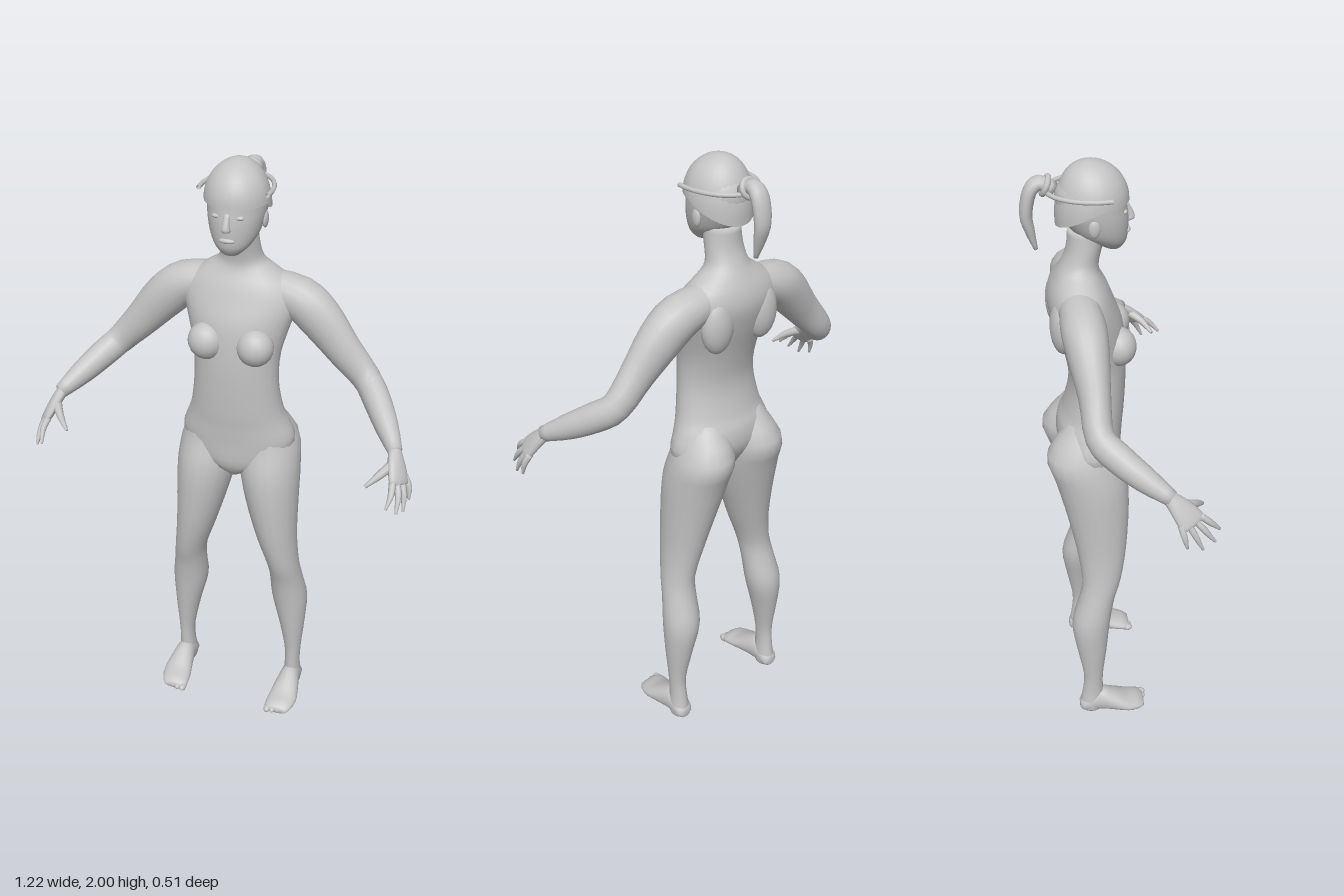
import * as THREE from 'three';

const skin = new THREE.MeshStandardMaterial({ color: 0xc4c4c4, side: THREE.DoubleSide });
skin.name = 'plain grey';

const V = (x, y, z) => new THREE.Vector3(x, y, z);

// Catmull-Rom refinement of a list of number rows
function refine(rows, n) {
  const out = [];
  for (let i = 0; i < rows.length - 1; i++) {
    const a = rows[Math.max(i - 1, 0)], b = rows[i], c = rows[i + 1], d = rows[Math.min(i + 2, rows.length - 1)];
    for (let k = 0; k < n; k++) {
      const t = k / n;
      out.push(b.map((_, m) => b[m] + 0.5 * t * (c[m] - a[m]
        + t * (2 * a[m] - 5 * b[m] + 4 * c[m] - d[m] + t * (3 * (b[m] - c[m]) + d[m] - a[m])))));
    }
  }
  out.push(rows[rows.length - 1]);
  return out;
}

// Closed skin over elliptical sections [x, y, z, radius along ref, radius across];
// sections are square to the path unless a fixed axis is given
function loft(rows, ref, axis = null, sides = 20, n = 3) {
  const secs = refine(rows, n), pos = [], idx = [];
  const at = i => V(...secs[Math.min(Math.max(i, 0), secs.length - 1)].slice(0, 3));
  secs.forEach((s, i) => {
    const t = axis ? axis.clone() : at(i + 1).sub(at(i - 1)).normalize();
    const u = ref.clone().addScaledVector(t, -ref.dot(t)).normalize();
    const v = t.clone().cross(u);
    for (let j = 0; j < sides; j++) {
      const a = (j / sides) * Math.PI * 2;
      const p = at(i).addScaledVector(u, Math.cos(a) * s[3]).addScaledVector(v, Math.sin(a) * s[4]);
      pos.push(p.x, p.y, p.z);
    }
  });
  const last = secs.length - 1, c0 = pos.length / 3;
  pos.push(...at(0).toArray(), ...at(last).toArray());
  for (let j = 0; j < sides; j++) {
    const k = (j + 1) % sides;
    for (let i = 0; i < last; i++) {
      const a = i * sides + j, b = i * sides + k;
      idx.push(a, b, b + sides, a, b + sides, a + sides);
    }
    idx.push(c0, k, j, c0 + 1, last * sides + j, last * sides + k);
  }
  const g = new THREE.BufferGeometry();
  g.setAttribute('position', new THREE.Float32BufferAttribute(pos, 3));
  g.setIndex(idx);
  g.computeVertexNormals();
  return g;
}

// Upright form from [y, half width, front z, back z]
const upright = rows => loft(rows.map(([y, w, f, b]) => [0, y, (f + b) / 2, w, (f - b) / 2]), V(1, 0, 0), V(0, 1, 0), 28);

export function createModel() {
  const model = new THREE.Group();
  model.name = 'figure';
  const add = (name, geo) => {
    const m = new THREE.Mesh(geo, skin);
    m.name = name;
    model.add(m);
    return m;
  };
  const blob = (name, p, r) => {
    const m = add(name, new THREE.SphereGeometry(1, 18, 12));
    m.position.set(...p);
    m.scale.set(...r);
    return m;
  };

  // Torso and neck
  add('torso', upright([
    [0.95, 0.03, 0.0, -0.1], [1.0, 0.13, 0.03, -0.12], [1.08, 0.188, 0.035, -0.165], [1.15, 0.17, 0.04, -0.165],
    [1.2, 0.152, 0.045, -0.145], [1.3, 0.137, 0.05, -0.125], [1.4, 0.14, 0.05, -0.14], [1.5, 0.165, 0.04, -0.17],
    [1.57, 0.185, 0.015, -0.185], [1.62, 0.165, -0.005, -0.178], [1.66, 0.11, -0.025, -0.16],
    [1.69, 0.07, -0.03, -0.145], [1.74, 0.06, -0.02, -0.125], [1.8, 0.055, 0.0, -0.12]]));

  // Head
  add('head', upright([
    [1.738, 0.025, 0.035, -0.01], [1.76, 0.05, 0.05, -0.05], [1.79, 0.07, 0.055, -0.1], [1.83, 0.082, 0.056, -0.13],
    [1.87, 0.088, 0.052, -0.15], [1.92, 0.085, 0.045, -0.15], [1.97, 0.055, 0.01, -0.11]]));
  add('nose', loft([[0, 1.87, 0.05, 0.008, 0.006], [0, 1.84, 0.061, 0.011, 0.01], [0, 1.823, 0.062, 0.014, 0.012],
    [0, 1.816, 0.055, 0.008, 0.006]], V(1, 0, 0), V(0, -1, 0), 12));
  blob('lips', [0, 1.79, 0.052], [0.024, 0.008, 0.01]);

  // Hair cap, drawn lower at the back of the head
  const hair = new THREE.SphereGeometry(1, 32, 14, 0, Math.PI * 2, 0, Math.PI / 2);
  const hp = hair.attributes.position;
  for (let i = 0; i < hp.count; i++) {
    const y = hp.getY(i), z = hp.getZ(i), drop = Math.max(0, 0.25 - z) * (1 - y);
    hp.setXYZ(i, hp.getX(i) * 0.1 * (1 - 0.08 * drop), 1.885 + 0.115 * y - 0.055 * drop, -0.055 + 0.113 * z * (1 - 0.1 * drop));
  }
  hair.computeVertexNormals();
  add('hair', hair);

  // Hair band around the sides and back
  const band = [];
  for (let i = 0; i <= 16; i++) {
    const a = -0.2 + (i / 16) * (Math.PI + 0.4);
    band.push(V(0.105 * Math.cos(a), 1.918, -0.03 - 0.148 * Math.sin(a)));
  }
  add('hairBand', new THREE.TubeGeometry(new THREE.CatmullRomCurve3(band), 40, 0.007, 8));

  // Ponytail and its tie
  add('ponytail', loft([
    [0, 1.92, -0.155, 0.024, 0.02], [0, 1.94, -0.195, 0.026, 0.022], [0, 1.915, -0.222, 0.03, 0.02],
    [0, 1.85, -0.235, 0.028, 0.019], [0, 1.8, -0.226, 0.022, 0.015], [0, 1.74, -0.21, 0.008, 0.006]], V(1, 0, 0), null, 14));
  const tie = add('ponytailTie', new THREE.TorusGeometry(0.025, 0.009, 8, 18));
  tie.position.set(0, 1.932, -0.178);
  tie.rotation.x = 0.4;

  for (const s of [1, -1]) {
    const side = s > 0 ? 'left' : 'right';
    const mir = rows => rows.map(([x, ...r]) => [x * s, ...r]);

    // Face and chest details
    blob(side + 'Ear', [s * 0.083, 1.83, -0.05], [0.009, 0.027, 0.017]);
    blob(side + 'Eye', [s * 0.034, 1.858, 0.04], [0.015, 0.007, 0.009]);
    blob(side + 'Breast', [s * 0.078, 1.445, 0.02], [0.058, 0.06, 0.054]);
    blob(side + 'ShoulderBlade', [s * 0.085, 1.53, -0.145], [0.055, 0.09, 0.04]);

    // Leg, from buttock to heel
    add(side + 'Leg', loft(mir([
      [0.075, 1.2, -0.06, 0.05, 0.06], [0.098, 1.08, -0.095, 0.092, 0.112], [0.107, 0.98, -0.07, 0.1, 0.115],
      [0.12, 0.87, -0.053, 0.09, 0.104], [0.143, 0.72, -0.042, 0.069, 0.083], [0.168, 0.6, -0.045, 0.055, 0.065],
      [0.178, 0.52, -0.063, 0.057, 0.06], [0.187, 0.42, -0.084, 0.062, 0.065], [0.199, 0.3, -0.083, 0.045, 0.051],
      [0.206, 0.18, -0.08, 0.029, 0.034], [0.206, 0.1, -0.083, 0.027, 0.036], [0.206, 0.04, -0.088, 0.033, 0.04],
      [0.206, 0.012, -0.088, 0.03, 0.038]]), V(1, 0, 0), V(0, -1, 0)));

    // Foot and toes
    add(side + 'Foot', loft(mir([
      [0.206, 0.03, -0.13, 0.014, 0.015], [0.206, 0.034, -0.115, 0.031, 0.03], [0.206, 0.05, -0.06, 0.035, 0.05],
      [0.207, 0.041, -0.01, 0.044, 0.041], [0.206, 0.027, 0.04, 0.052, 0.027], [0.2, 0.02, 0.08, 0.048, 0.02],
      [0.196, 0.015, 0.1, 0.038, 0.01]]), V(1, 0, 0), V(0, 0, 1)));
    for (let i = 0; i < 5; i++) {
      const r = 0.013 - i * 0.0012;
      blob(side + 'Toe', [s * (0.165 + i * 0.019), 0.014, 0.093 - i * i * 0.0025], [r, r, 0.02]);
    }

    // Arm, bent forward at the elbow
    add(side + 'Arm', loft(mir([
      [0.06, 1.605, -0.1, 0.05, 0.055], [0.18, 1.575, -0.095, 0.068, 0.066], [0.25, 1.52, -0.088, 0.07, 0.06],
      [0.33, 1.43, -0.08, 0.057, 0.046], [0.405, 1.35, -0.075, 0.047, 0.042], [0.45, 1.31, -0.03, 0.046, 0.042],
      [0.5, 1.265, 0.04, 0.039, 0.036], [0.545, 1.225, 0.11, 0.024, 0.022]]), V(0, 1, 0), null, 18));

    // Hand
    const spread = V(-0.41 * s, 0.16, 0.9);
    add(side + 'Palm', loft(mir([
      [0.54, 1.23, 0.1, 0.02, 0.018], [0.556, 1.197, 0.133, 0.034, 0.018], [0.572, 1.16, 0.163, 0.042, 0.015],
      [0.576, 1.15, 0.17, 0.036, 0.009]]), spread, null, 14));
    const tips = [[0.555, 1.11, 0.25], [0.583, 1.088, 0.232], [0.598, 1.075, 0.195], [0.605, 1.09, 0.148]];
    tips.forEach(([x, y, z], i) => {
      const k = 0.033 - i * 0.022;
      const b = [0.571 - 0.41 * k, 1.162 + 0.16 * k, 0.16 + 0.9 * k];
      const mid = [(b[0] + x) / 2 + 0.006, (b[1] + y) / 2 + 0.004, (b[2] + z) / 2];
      add(side + 'Finger', loft(mir([[...b, 0.01, 0.011], [...mid, 0.0095, 0.0095], [x, y, z, 0.004, 0.004]]), spread, null, 8));
    });
    add(side + 'Thumb', loft(mir([[0.553, 1.205, 0.13, 0.016, 0.016], [0.518, 1.18, 0.18, 0.013, 0.012],
      [0.482, 1.15, 0.212, 0.005, 0.005]]), V(0, 1, 0), null, 8));
  }
  return model;
}
